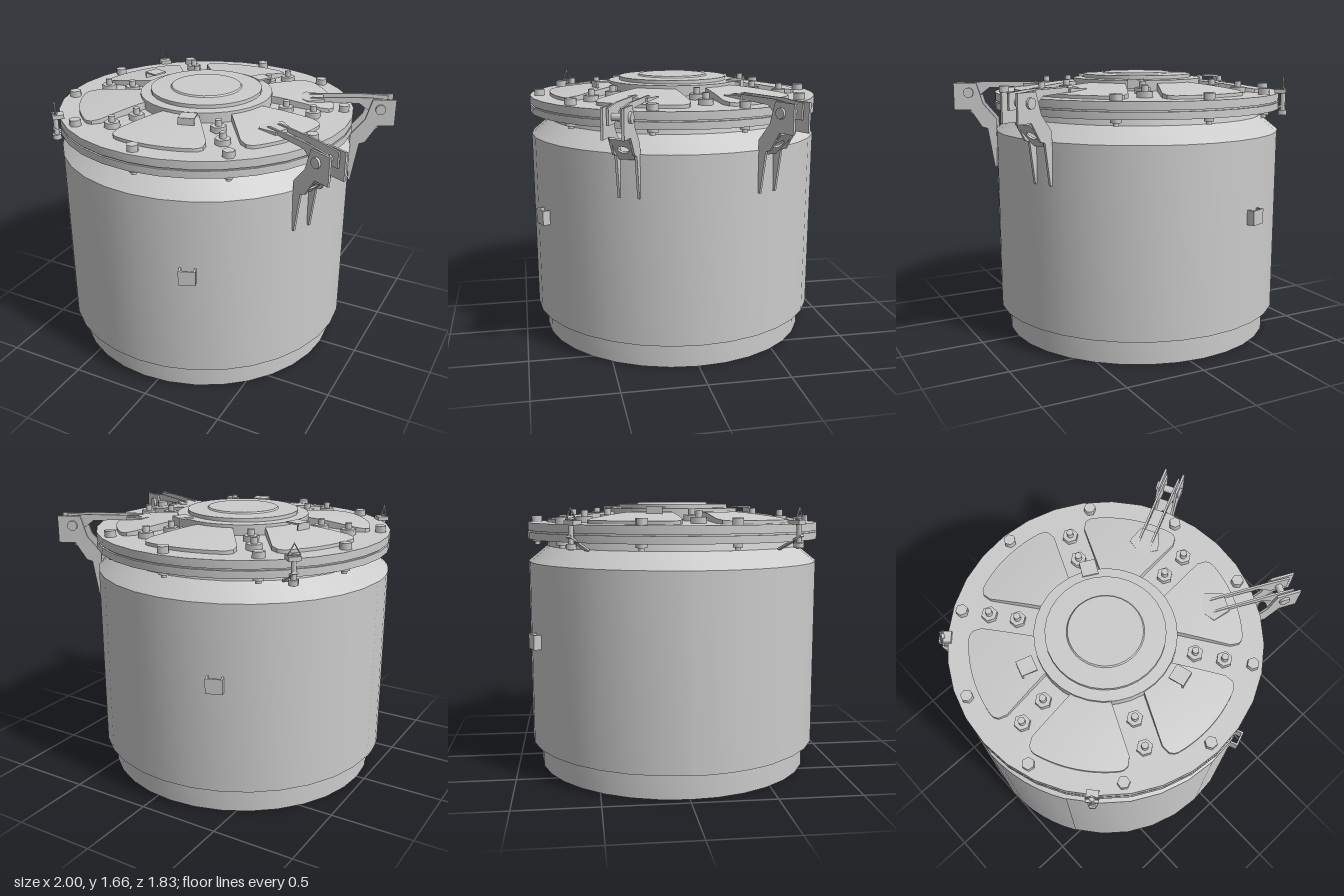
import * as THREE from 'three';
import { toCreasedNormals } from 'three/addons/utils/BufferGeometryUtils.js';

const mat = new THREE.MeshStandardMaterial({ color: 0xcccccc, side: THREE.DoubleSide });
const rad = THREE.MathUtils.degToRad;

function add(parent, name, geo, x = 0, y = 0, z = 0) {
  const m = new THREE.Mesh(geo, mat);
  m.name = name;
  m.position.set(x, y, z);
  parent.add(m);
  return m;
}

// Group whose local +x points outwards at an angle measured from +x towards +z
function spoke(parent, name, deg) {
  const g = new THREE.Group();
  g.name = name;
  g.rotation.y = -rad(deg);
  parent.add(g);
  return g;
}

const vecs = (pts) => pts.map(([x, y]) => new THREE.Vector2(x, y));
const lathe = (pts, seg = 32, start = 0, len = Math.PI * 2) =>
  toCreasedNormals(new THREE.LatheGeometry(vecs(pts), seg, start, len), 0.45);
const hex = (r, h) => new THREE.CylinderGeometry(r, r, h, 6).toNonIndexed();
const rod = (r, h, n = 12) => new THREE.CylinderGeometry(r, r, h, n);
const box = (x, y, z) => new THREE.BoxGeometry(x, y, z);

// Flat sheet cut from a (radius, height) outline, centred on its thickness
function sheet(pts, t, hole) {
  const s = new THREE.Shape(vecs(pts));
  if (hole) s.holes.push(new THREE.Path().absarc(hole[0], hole[1], hole[2], 0, Math.PI * 2, true));
  return new THREE.ExtrudeGeometry(s, { depth: t, bevelEnabled: false, curveSegments: 8 }).translate(0, 0, -t / 2);
}

// Raised dome sector between two spoke notches, with walls down to the lid floor
function domeSector() {
  const cols = 28, rows = 8, pos = [], idx = [];
  for (let i = 0; i <= cols; i++) {
    const t = THREE.MathUtils.clamp((i - 1) / (cols - 2), 0, 1) * 2 - 1;
    const corner = Math.max(0, (Math.abs(t) - 0.75) / 0.25);
    const rOut = 0.79 - 0.08 * (1 - Math.sqrt(1 - corner * corner * 0.99));
    for (let j = 0; j <= rows; j++) {
      const r = THREE.MathUtils.lerp(0.405, rOut, Math.min(1, j / (rows - 1)));
      const a = t * (Math.PI / 6 - Math.asin(0.095 / r));
      const wall = i === 0 || i === cols || j === rows;
      const y = wall ? 1.535 : 1.607 - 0.047 * Math.max(0, (r - 0.41) / 0.38) ** 1.3;
      pos.push(r * Math.cos(a), y, r * Math.sin(a));
      if (i < cols && j < rows) {
        const k = i * (rows + 1) + j, n = k + rows + 1;
        idx.push(k, n, k + 1, n, n + 1, k + 1);
      }
    }
  }
  const g = new THREE.BufferGeometry();
  g.setAttribute('position', new THREE.Float32BufferAttribute(pos, 3));
  g.setIndex(idx);
  return toCreasedNormals(g, 0.5);
}

function buildHinge(parent, deg) {
  const h = spoke(parent, 'hinge', deg);
  const bracket = sheet([[0.912, 1.05], [0.925, 1.05], [0.965, 1.3], [1.0, 1.31], [1.07, 1.42], [1.175, 1.42],
    [1.175, 1.59], [1.03, 1.59], [0.99, 1.46], [0.905, 1.36], [0.905, 1.28]], 0.014);
  const arm = sheet([[0.6, 1.575], [0.66, 1.598], [1.0, 1.598], [1.14, 1.585], [1.14, 1.49], [1.04, 1.49], [0.95, 1.56]], 0.012);
  for (const s of [-1, 1]) {
    add(h, 'hingeBracketPlate', bracket, 0, 0, s * 0.058);
    add(h, 'hingeArmPlate', arm, 0, 0, s * 0.038);
    add(h, 'hingePinHead', rod(0.032, 0.016), 1.08, 1.53, s * 0.072).rotation.x = Math.PI / 2;
  }
  add(h, 'hingePin', rod(0.022, 0.15), 1.08, 1.53, 0).rotation.x = Math.PI / 2;
  // Sloping web with a drain hole
  const web = sheet([[-0.1, -0.055], [0.1, -0.055], [0.1, 0.055], [-0.1, 0.055]], 0.012, [0, 0, 0.033]);
  web.rotateX(-Math.PI / 2).rotateZ(Math.atan2(0.13, 0.14));
  add(h, 'hingeWeb', web, 1.0, 1.345, 0);
  // Five-sided foot of the arm on the lid
  const foot = add(h, 'hingeFoot', rod(0.095, 0.035, 5).toNonIndexed(), 0.655, 1.572, 0);
  foot.rotation.y = -Math.PI / 2;
  foot.geometry.computeVertexNormals();
}

function buildClamp(parent, deg) {
  const c = spoke(parent, 'clamp', deg);
  add(c, 'clampBolt', rod(0.016, 0.17, 8), 0.94, 1.485, 0);
  add(c, 'clampBlock', box(0.07, 0.025, 0.07), 0.925, 1.55, 0);
  add(c, 'clampNut', hex(0.03, 0.03), 0.94, 1.42, 0);
  add(c, 'clampLever', box(0.17, 0.012, 0.035), 0.885, 1.435, 0).rotation.z = 0.5;
  // Triangular wire pull, point downwards
  const ring = add(c, 'clampPull', new THREE.TorusGeometry(0.042, 0.006, 6, 3), 0.94, 1.588, 0);
  ring.rotation.set(0, Math.PI / 2, Math.PI / 2, 'YXZ');
}

export function createModel() {
  const root = new THREE.Group();
  root.name = 'hatchedTank';
  const tank = new THREE.Group();
  tank.name = 'tank';
  tank.position.x = -0.095;
  root.add(tank);

  // Open-bottomed shell with a narrower foot and chamfered shoulder
  add(tank, 'shell', lathe([[0.855, 0], [0.855, 0.16], [0.912, 0.16], [0.912, 1.3], [0.795, 1.395], [0.785, 1.44]]));
  add(tank, 'shellPanel', lathe([[0.913, 0.16], [0.916, 0.16], [0.916, 1.3], [0.798, 1.396]], 6, -Math.PI / 2, 0.58));

  // Lid: double flange, floor, centre boss
  add(tank, 'lid', lathe([[0, 1.44], [0.915, 1.44], [0.915, 1.483], [0.903, 1.483], [0.903, 1.492], [0.915, 1.492],
    [0.915, 1.54], [0.8, 1.54], [0.41, 1.562], [0.41, 1.625], [0.345, 1.628], [0.345, 1.65],
    [0.222, 1.653], [0.215, 1.662], [0, 1.662]]));

  // Six notches with paired studs, raised sectors between them
  const sector = domeSector();
  for (let i = 0; i < 6; i++) {
    const s = spoke(tank, 'lidSpoke', -5.5 + i * 60);
    for (const r of [0.52, 0.69]) {
      const y = 1.54 + (0.8 - r) * 0.056;
      add(s, 'studNut', hex(0.047, 0.035), r, y + 0.017, 0);
      add(s, 'stud', rod(0.02, 0.07), r, y + 0.035, 0);
    }
    add(spoke(tank, 'lidSector', 24.5 + i * 60), 'domeSector', sector);
  }

  // Ten rim bolts through the flange
  for (let i = 0; i < 10; i++) {
    const b = spoke(tank, 'rimBolt', 90 + i * 36);
    add(b, 'boltHead', hex(0.036, 0.04), 0.855, 1.558, 0);
    add(b, 'boltNut', hex(0.032, 0.025), 0.855, 1.43, 0);
    add(b, 'boltEnd', rod(0.017, 0.04), 0.855, 1.42, 0);
  }

  // Small folded tabs on the dome
  for (const [deg, r] of [[198, 0.485], [-61, 0.42], [74.5, 0.49]]) {
    const t = spoke(tank, 'foldedTab', deg);
    add(t, 'tabTop', box(0.095, 0.01, 0.095), r, 1.632, 0);
    add(t, 'tabWall', box(0.01, 0.055, 0.095), r + 0.043, 1.605, 0);
  }

  // U-shaped eyes on the side wall
  for (const deg of [69, 249]) {
    const e = spoke(tank, 'sideEye', deg);
    add(e, 'eyeFace', box(0.012, 0.09, 0.1), 0.948, 0.835, 0);
    for (const s of [-1, 1]) add(e, 'eyeSide', box(0.055, 0.09, 0.012), 0.92, 0.835, s * 0.044);
  }

  for (const s of [-1, 1]) {
    buildHinge(tank, s * 26);
    buildClamp(tank, 180 + s * 43);
  }
  return root;
}
